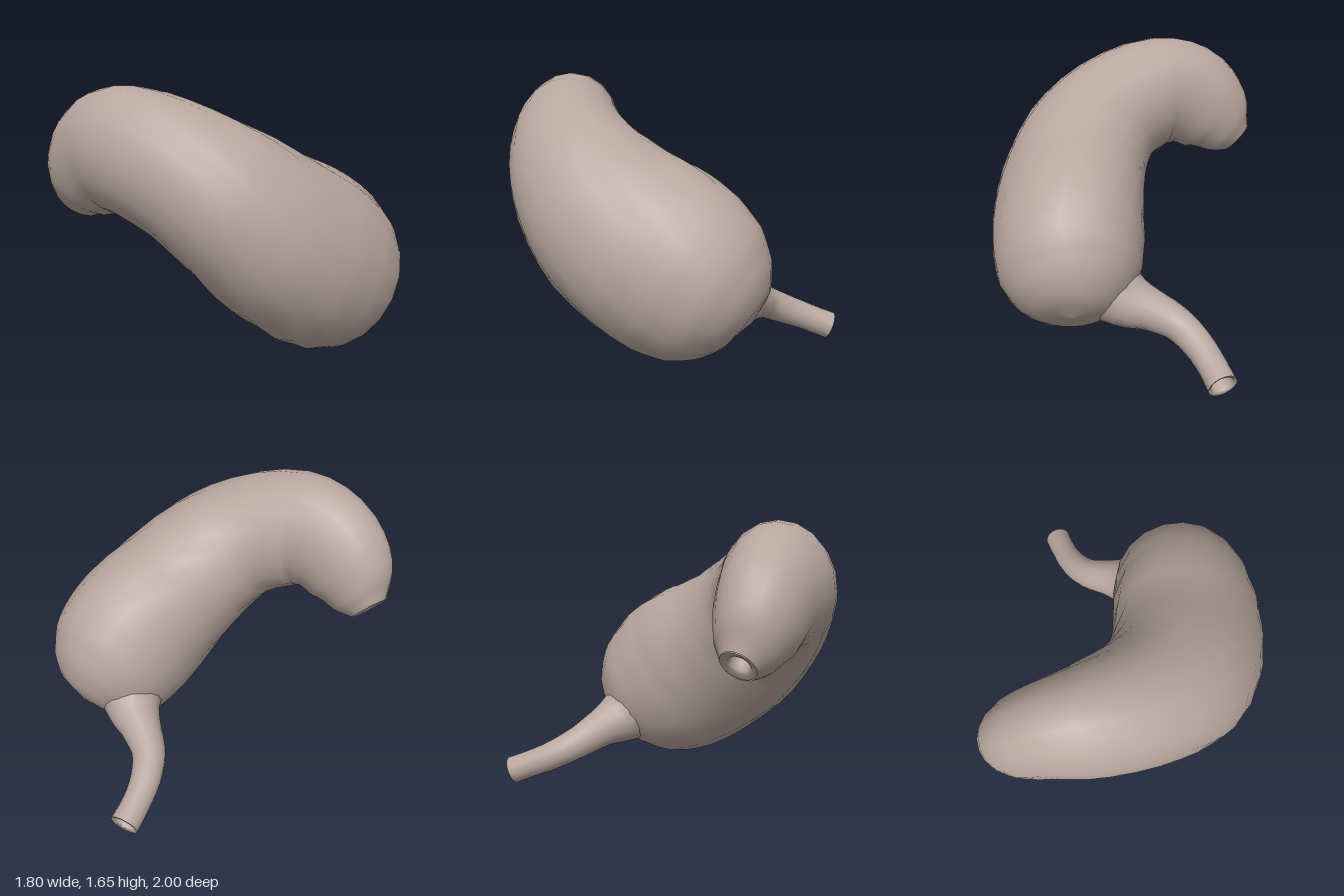
import * as THREE from 'three';

// Sweeps elliptical rings along a path. Each station is [x, y, z, halfWidth, halfDepth].
function sweep(name, stations, steps, sides, material) {
  const path = new THREE.CatmullRomCurve3(stations.map((s) => new THREE.Vector3(s[0], s[1], s[2])));
  const size = new THREE.CatmullRomCurve3(stations.map((s) => new THREE.Vector3(s[3], s[4], 0)));
  const zAxis = new THREE.Vector3(0, 0, 1);
  const positions = [];
  const index = [];
  for (let i = 0; i <= steps; i++) {
    const c = path.getPoint(i / steps);
    const r = size.getPoint(i / steps);
    const t = path.getTangent(i / steps);
    const u = new THREE.Vector3().crossVectors(zAxis, t).normalize();
    const v = new THREE.Vector3().crossVectors(t, u);
    for (let j = 0; j < sides; j++) {
      const a = (j / sides) * Math.PI * 2;
      const p = c.clone()
        .addScaledVector(u, Math.cos(a) * Math.max(r.x, 0.001))
        .addScaledVector(v, Math.sin(a) * Math.max(r.y, 0.001));
      positions.push(p.x, p.y, p.z);
      if (i < steps) {
        const a0 = i * sides + j;
        const b0 = i * sides + ((j + 1) % sides);
        index.push(a0, b0, b0 + sides, a0, b0 + sides, a0 + sides);
      }
    }
  }
  const geometry = new THREE.BufferGeometry();
  geometry.setAttribute('position', new THREE.Float32BufferAttribute(positions, 3));
  geometry.setIndex(index);
  geometry.computeVertexNormals();
  const mesh = new THREE.Mesh(geometry, material);
  mesh.name = name;
  return mesh;
}

export function createModel() {
  const tissue = new THREE.MeshStandardMaterial({ color: 0xb8a79f, side: THREE.DoubleSide });
  tissue.name = 'paleTissue';
  const group = new THREE.Group();
  group.name = 'stomach';

  // Curved sac, from the narrow outlet to the broad rounded end
  group.add(sweep('sac', [
    [-0.82, 0.965, 0.61, 0.115, 0.1],
    [-0.755, 1.025, 0.63, 0.2, 0.17],
    [-0.645, 1.14, 0.66, 0.295, 0.23],
    [-0.48, 1.26, 0.68, 0.345, 0.265],
    [-0.28, 1.295, 0.685, 0.36, 0.31],
    [0.03, 1.2, 0.61, 0.375, 0.37],
    [0.24, 1.04, 0.47, 0.41, 0.445],
    [0.37, 0.85, 0.27, 0.435, 0.505],
    [0.435, 0.7, 0.04, 0.45, 0.53],
    [0.46, 0.59, -0.13, 0.445, 0.515],
    [0.475, 0.485, -0.29, 0.41, 0.455],
    [0.49, 0.405, -0.41, 0.32, 0.34],
    [0.5, 0.355, -0.48, 0.19, 0.2],
    [0.505, 0.335, -0.505, 0, 0],
  ], 39, 20, tissue));

  // Dimple at the narrow outlet
  group.add(sweep('outletDimple', [
    [-0.82, 0.965, 0.61, 0.115, 0.1],
    [-0.81, 0.975, 0.613, 0.065, 0.06],
    [-0.75, 1.04, 0.63, 0.04, 0.04],
    [-0.73, 1.06, 0.635, 0, 0],
  ], 9, 20, tissue));

  // Bent inlet tube, flaring into the sac
  group.add(sweep('inletTube', [
    [0.32, 0.46, -0.28, 0.25, 0.25],
    [0.17, 0.36, -0.41, 0.165, 0.165],
    [0.05, 0.32, -0.485, 0.122, 0.122],
    [-0.08, 0.265, -0.57, 0.1, 0.1],
    [-0.165, 0.195, -0.7, 0.09, 0.09],
    [-0.21, 0.13, -0.85, 0.083, 0.083],
    [-0.23, 0.083, -0.968, 0.085, 0.085],
  ], 18, 16, tissue));

  // Rim and hollow inside of the inlet tube
  group.add(sweep('inletLining', [
    [-0.23, 0.083, -0.968, 0.085, 0.085],
    [-0.229, 0.086, -0.961, 0.066, 0.066],
    [-0.21, 0.13, -0.85, 0.06, 0.06],
    [-0.165, 0.195, -0.7, 0, 0],
  ], 9, 16, tissue));

  return group;
}
